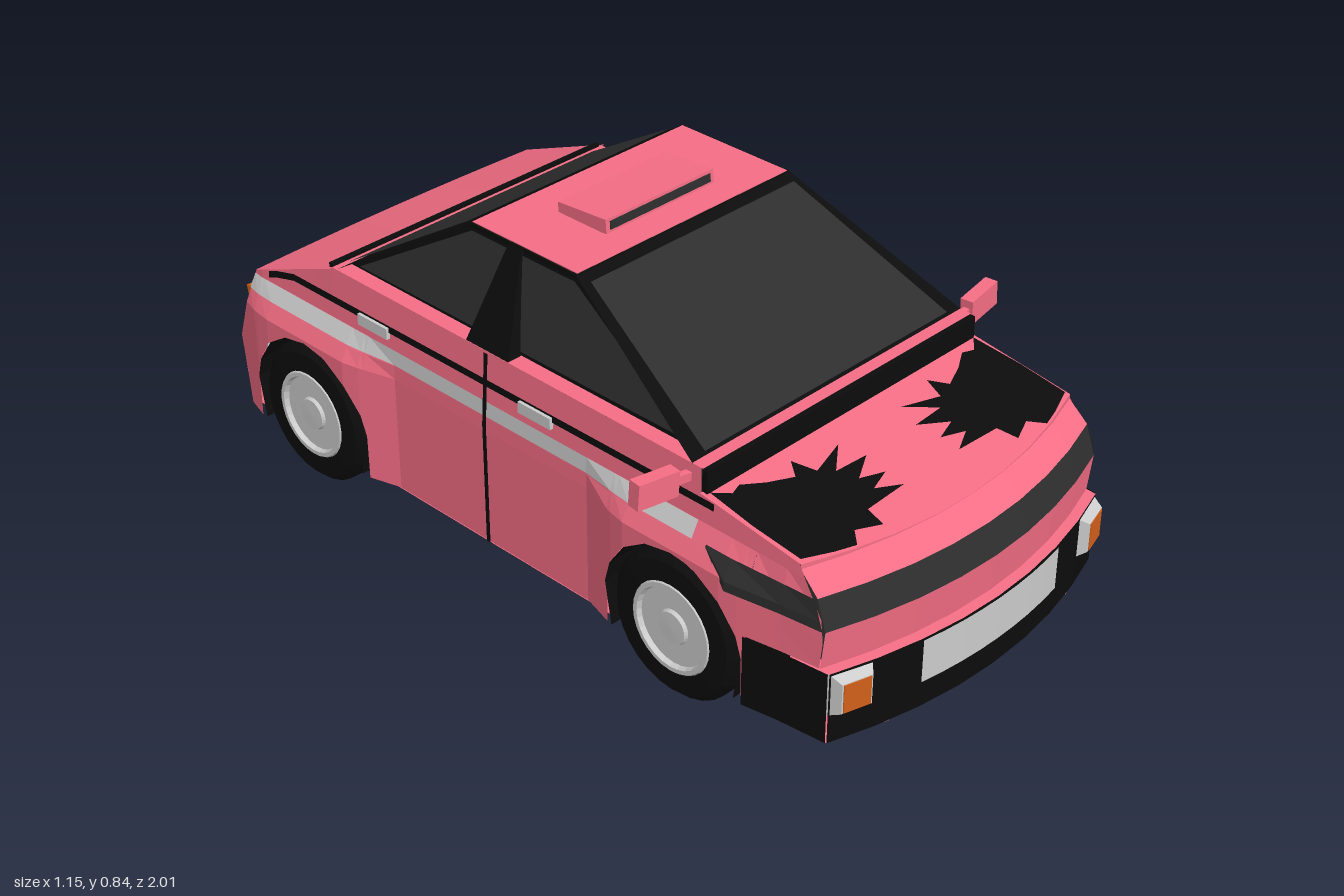
import * as THREE from 'three';

const mat = (color) => new THREE.MeshStandardMaterial({ color, flatShading: true, side: THREE.DoubleSide });
const PINK = mat(0xf66e85), BLACK = mat(0x0c0c0c), GLASS = mat(0x2e2e2e), SILVER = mat(0xcccccc), ORANGE = mat(0xd2601a);
const WHEELS = [0.515, -0.665], AXLE = 0.18, ARCH = 0.197, FLOOR = 0.09, ROOF = 0.803, TAIL = -0.885;
const clamp = THREE.MathUtils.clamp;

// Piecewise linear lookup, keys ascending
function lin(pts, t) {
  if (t <= pts[0][0]) return pts[0][1];
  for (let i = 1; i < pts.length; i++) {
    const [a, u] = pts[i - 1], [b, v] = pts[i];
    if (t <= b) return u + (v - u) * (t - a) / (b - a);
  }
  return pts[pts.length - 1][1];
}

// Body rules: end profiles (bowed across x), belt line and side width
const front = (y, x) => lin([[0.09, 1], [0.265, 1], [0.266, 0.975], [0.36, 0.985], [0.43, 0.96], [0.475, 0.91]], y) - 0.4 * x * x;
const rear = (y, x) => lin([[0.09, -0.935], [0.265, -0.97], [0.345, -0.922], [0.47, -0.895]], y) + 0.05 * x * x;
const hoodY = (z) => 0.525 - 0.14 * (z - 0.56);
const belt = (z) => lin([[TAIL, 0.47], [-0.6, 0.585], [0.555, 0.58], [0.56, 0.525], [0.83, hoodY(0.83)]], z);
function sideX(z, y) {
  let flare = 0;
  for (const c of WHEELS) {
    const out = (z - c) * Math.sign(c), reach = out > 0 ? 0.36 : 0.28;
    flare = Math.max(flare, clamp((reach - Math.abs(out)) / (reach - 0.15), 0, 1));
  }
  const base = lin([[0.41, 0.443], [0.58, 0.43]], y) - 0.012 * clamp((-0.86 - z) / 0.1, 0, 1);
  return base + 0.037 * flare * clamp((0.46 - y) / 0.075, 0, 1);
}
function archY(z) {
  for (const c of WHEELS) {
    const d = Math.abs(z - c);
    if (d < ARCH - 0.001) return AXLE + Math.sqrt(ARCH * ARCH - d * d);
  }
  return FLOOR;
}

// Surface through rows of points
function grid(rows) {
  const pos = [], idx = [], n = rows[0].length;
  rows.forEach((r) => r.forEach((p) => pos.push(...p)));
  for (let i = 0; i < rows.length - 1; i++) for (let j = 0; j < n - 1; j++) {
    const a = i * n + j, b = a + n;
    idx.push(a, a + 1, b + 1, a, b + 1, b);
  }
  const g = new THREE.BufferGeometry();
  g.setAttribute('position', new THREE.Float32BufferAttribute(pos, 3));
  g.setIndex(idx);
  g.computeVertexNormals();
  return g;
}

export function createModel() {
  const car = new THREE.Group();
  car.name = 'car';
  const add = (name, geo, material, parent = car) => {
    const m = new THREE.Mesh(geo, material);
    m.name = name;
    parent.add(m);
    return m;
  };
  const box = (name, material, size, at, parent = car) => {
    const m = add(name, new THREE.BoxGeometry(...size), material, parent);
    m.position.set(...at);
    return m;
  };
  const quad = (name, material, a, b, c, d) => add(name, grid([[a, b], [d, c]]), material);

  // Bowed strips across the nose and tail
  const across = [-1, -0.75, -0.5, -0.25, 0, 0.25, 0.5, 0.75, 1];
  const end = (name, material, edge, ys, half, off = 0) => add(name, grid(ys.map((y) => {
    const w = half || sideX(edge(y, 0.45), y);
    return across.map((t) => [t * w, y, edge(y, t * w) + off]);
  })), material);
  end('frontBumper', BLACK, front, [0.09, 0.265]);
  end('nosePanel', PINK, front, [0.265, 0.266, 0.36]);
  end('grille', GLASS, front, [0.36, 0.43]);
  end('noseEdge', PINK, front, [0.43, 0.475]);
  end('numberPlate', SILVER, front, [0.157, 0.264], 0.225, 0.005);
  end('rearBumper', PINK, rear, [0.09, 0.265, 0.345]);
  end('tailPanel', PINK, rear, [0.345, 0.47]);

  // Hood, cowl, deck and trunk lid
  const xs = across.map((t) => t * 0.438);
  const lip = xs.map((x) => [x, 0.475, front(0.475, x)]);
  const hoodEdge = lip.map(([x, , z]) => [x, hoodY(z), z]);
  add('hood', grid([lip, hoodEdge, xs.map((x) => [x, 0.525, 0.56])]), PINK);
  add('trunkLid', grid([xs.map((x) => [x, 0.585, -0.6]), xs.map((x) => [x, 0.47, rear(0.47, x)])]), PINK);
  box('cowl', BLACK, [0.86, 0.055, 0.014], [0, 0.55, 0.565]);
  quad('deck', PINK, [-0.43, 0.58, 0.56], [0.43, 0.58, 0.56], [0.43, 0.585, -0.6], [-0.43, 0.585, -0.6]);
  box('trunkSeam', BLACK, [0.85, 0.012, 0.012], [0, 0.584, -0.612]);

  // Jagged hood decals
  const splat = [[0.425, 0.575], [0.432, 0.70], [0.43, 0.825], [0.36, 0.853], [0.31, 0.868], [0.28, 0.835], [0.22, 0.86], [0.21, 0.81],
    [0.09, 0.805], [0.15, 0.775], [0.09, 0.755], [0.15, 0.735], [0.08, 0.695], [0.17, 0.69], [0.10, 0.635], [0.20, 0.665], [0.22, 0.61],
    [0.25, 0.65], [0.31, 0.625], [0.36, 0.595], [0.39, 0.605]];
  for (const s of [1, -1]) {
    const g = new THREE.ShapeGeometry(new THREE.Shape(splat.map(([x, z]) => new THREE.Vector2(x * s, z))));
    const p = g.attributes.position;
    for (let i = 0; i < p.count; i++) p.setXYZ(i, p.getX(i), hoodY(p.getY(i)) + 0.004, p.getY(i));
    g.computeVertexNormals();
    add('hoodDecal', g, BLACK);
  }

  // Columns for the side panels, denser round the wheel arches
  const columns = [-1, -0.9, 0.72, 0.56, 0.555, 0.235, -0.08, -0.385, -0.6];
  for (const c of WHEELS) for (const a of [0, 0.12, 0.4, 0.8, 1.2, Math.PI / 2]) {
    const d = ARCH * Math.cos(a);
    columns.push(c + d, c - d);
  }
  columns.sort((a, b) => b - a);
  const sidePanel = (name, material, s, zs, ysAt, off = 0) => add(name, grid(zs.map((z) => ysAt(z).map((y) => {
    const zz = clamp(z, rear(y, 0.45), front(y, 0.45));
    return [s * (sideX(zz, y) + off), y, zz];
  }))), material);
  const between = (a, b) => [a, ...columns.filter((z) => z < a && z > b), b];
  const beltRow = (z) => belt(clamp(z, TAIL, 0.83));
  const bodyRows = (z) => [archY(z), Math.max(archY(z), 0.265), 0.385, 0.42, 0.46, beltRow(z)];

  for (const s of [1, -1]) {
    sidePanel('bodySide', PINK, s, between(0.72, -1), bodyRows);
    sidePanel('frontFender', PINK, s, [1, 0.8, 0.72], (z) => [0.266, 0.33, 0.385, 0.46, beltRow(z)]);
    sidePanel('bumperSide', BLACK, s, [1, 0.8, 0.714], () => [0.09, 0.265], 0.002);
    sidePanel('grilleWrap', GLASS, s, [1, 0.8, 0.67, 0.6], (z) => [z < 0.65 ? 0.425 : 0.362, z < 0.65 ? 0.427 : 0.385, 0.43], 0.005);
    sidePanel('silverStripe', SILVER, s, between(0.56, -1), () => [0.425, 0.462], 0.003);
    sidePanel('blackStripe', BLACK, s, between(0.6, -0.83), (z) => [Math.min(0.5, belt(z) - 0.02), Math.min(0.517, belt(z) - 0.003)], 0.004);
    sidePanel('doorSeam', BLACK, s, [-0.075, -0.087], () => [0.09, 0.4, 0.58], 0.004);
    for (const z of [0.08, -0.45]) box('doorHandle', SILVER, [0.02, 0.028, 0.1], [s * 0.437, 0.498, z]);

    // Recessed cabin side, windows and centre pillar
    const wall = (z, y, off = 0) => [s * (0.39 - 0.06 * (y - 0.58) / (ROOF - 0.58) + off), y, z];
    quad('cabinSide', BLACK, wall(0.53, 0.58), wall(0.1, ROOF), wall(-0.23, ROOF), wall(-0.59, 0.58));
    quad('frontSideWindow', GLASS, wall(0.48, 0.592, 0.004), wall(0.1, 0.79, 0.004), wall(-0.06, 0.79, 0.004), wall(-0.02, 0.592, 0.004));
    quad('rearSideWindow', GLASS, wall(-0.14, 0.592, 0.004), wall(-0.105, 0.79, 0.004), wall(-0.22, 0.79, 0.004), wall(-0.55, 0.592, 0.004));
    const outer = (z, y) => [s * (y > 0.6 ? 0.335 : 0.43), y, z];
    const ends = [[-0.015, -0.065], [-0.15, -0.105]];
    add('centrePillar', grid([
      [wall(ends[0][0], 0.58), wall(ends[0][1], ROOF)], ...ends.map(([lo, hi]) => [outer(lo, 0.58), outer(hi, ROOF)]),
      [wall(ends[1][0], 0.58), wall(ends[1][1], ROOF)]]), BLACK);

    // Door mirror
    const mirror = new THREE.Group();
    mirror.name = 'mirror';
    mirror.position.set(s * 0.521, 0.555, 0.512);
    mirror.rotation.set(0, s * 0.12, s * 0.07);
    box('mirrorHousing', PINK, [0.105, 0.06, 0.032], [0, 0, 0], mirror);
    box('mirrorFrame', BLACK, [0.09, 0.048, 0.004], [0, 0, -0.017], mirror);
    box('mirrorGlass', SILVER, [0.07, 0.034, 0.004], [0, 0, -0.019], mirror);
    box('mirrorStem', PINK, [0.07, 0.02, 0.016], [s * -0.07, 0, 0], mirror);
    car.add(mirror);

    // Lights
    const lamp = new THREE.Group();
    lamp.name = 'headlight';
    lamp.position.set(s * 0.39, 0.21, 0.932);
    lamp.rotation.y = s * 0.28;
    const bezel = add('headlightBezel', new THREE.CylinderGeometry(0.052, 0.076, 0.03, 4, 1).rotateY(Math.PI / 4).rotateX(Math.PI / 2), SILVER, lamp);
    bezel.position.z = 0.012;
    box('headlightLens', ORANGE, [0.066, 0.07, 0.01], [0, 0, 0.024], lamp);
    car.add(lamp);
    box('tailLight', SILVER, [0.175, 0.07, 0.04], [s * 0.305, 0.38, -0.902]).rotation.x = -0.22;
    box('tailIndicator', ORANGE, [0.046, 0.075, 0.04], [s * 0.415, 0.38, -0.9]).rotation.x = -0.22;

    // Wheels and wells
    for (const z of WHEELS) {
      const arc = [-0.45, 0.12, 0.4, 0.8, 1.2, Math.PI / 2].flatMap((a) => [a, Math.PI - a]).sort((a, b) => a - b);
      const ring = (x) => arc.map((a) => [s * x, AXLE + ARCH * Math.sin(a), z + ARCH * Math.cos(a)]);
      add('wheelWell', grid([ring(0.474), ring(0.3), arc.map(() => [s * 0.3, AXLE, z])]), BLACK);
      const wheel = new THREE.Group();
      wheel.name = 'wheel';
      wheel.position.set(s * 0.412, AXLE, z);
      wheel.rotation.z = s * -Math.PI / 2;
      const lathe = (name, pts, m) => add(name, new THREE.LatheGeometry(pts.map((p) => new THREE.Vector2(...p)), 28), m, wheel);
      lathe('tyre', [[0, -0.05], [0.11, -0.062], [0.16, -0.062], [0.177, -0.045], [0.177, 0.045], [0.16, 0.062], [0.112, 0.064], [0.106, 0.04]], BLACK);
      lathe('rim', [[0.112, 0.06], [0.108, 0.066], [0.098, 0.066], [0.094, 0.054], [0.042, 0.054], [0.038, 0.062], [0, 0.063]], SILVER);
      car.add(wheel);
    }

    // Floor sides, notched round the wells
    const floorSide = (a, b, x0, x1) => quad('floorSide', PINK, [s * x0, FLOOR, a], [s * x1, FLOOR, a], [s * x1, FLOOR, b], [s * x0, FLOOR, b]);
    floorSide(0.964, -0.93, 0.245, 0.3);
    floorSide(0.33, -0.48, 0.3, 0.445);
    floorSide(-0.85, -0.926, 0.3, 0.44);
    quad('floorSide', PINK, [s * 0.3, FLOOR, 0.964], [s * 0.444, FLOOR, 0.92], [s * 0.45, FLOOR, 0.7], [s * 0.3, FLOOR, 0.7]);
  }
  add('floor', grid([-0.245, -0.12, 0, 0.12, 0.245].map((x) => [[x, FLOOR, front(FLOOR, x)], [x, FLOOR, rear(FLOOR, x)]])), mat(0x222222));

  // Windscreens with black frames, and the roof
  const screen = (name, zLow, zHigh) => {
    const at = (x, y, o) => [x, y + o, zLow + (zHigh - zLow) * (y - 0.58) / (ROOF - 0.58) + Math.sign(zLow) * o];
    quad(name + 'Frame', BLACK, at(-0.43, 0.58, 0), at(0.43, 0.58, 0), at(0.333, ROOF, 0), at(-0.333, ROOF, 0));
    quad(name, GLASS, at(-0.388, 0.584, 0.003), at(0.388, 0.584, 0.003), at(0.318, 0.79, 0.003), at(-0.318, 0.79, 0.003));
  };
  screen('windscreen', 0.53, 0.1);
  screen('rearWindow', -0.595, -0.23);
  box('roofRim', BLACK, [0.666, 0.01, 0.333], [0, 0.799, -0.065]);
  box('roof', PINK, [0.656, 0.006, 0.325], [0, 0.803, -0.065]);

  // Roof scoop and exhaust
  const scoop = box('roofScoop', PINK, [0.336, 0.034, 0.148], [0, 0.819, -0.052]);
  scoop.rotation.x = -0.07;
  box('scoopOpening', GLASS, [0.312, 0.02, 0.004], [0, 0, 0.0745], scoop);
  const pipe = new THREE.CylinderGeometry(0.026, 0.026, 0.09, 12, 1, true).rotateX(Math.PI / 2);
  add('exhaust', pipe, SILVER).position.set(-0.38, 0.235, -0.955);
  const bore = add('exhaustBore', new THREE.CircleGeometry(0.024, 12), BLACK);
  bore.position.set(-0.38, 0.235, -0.98);
  return car;
}
